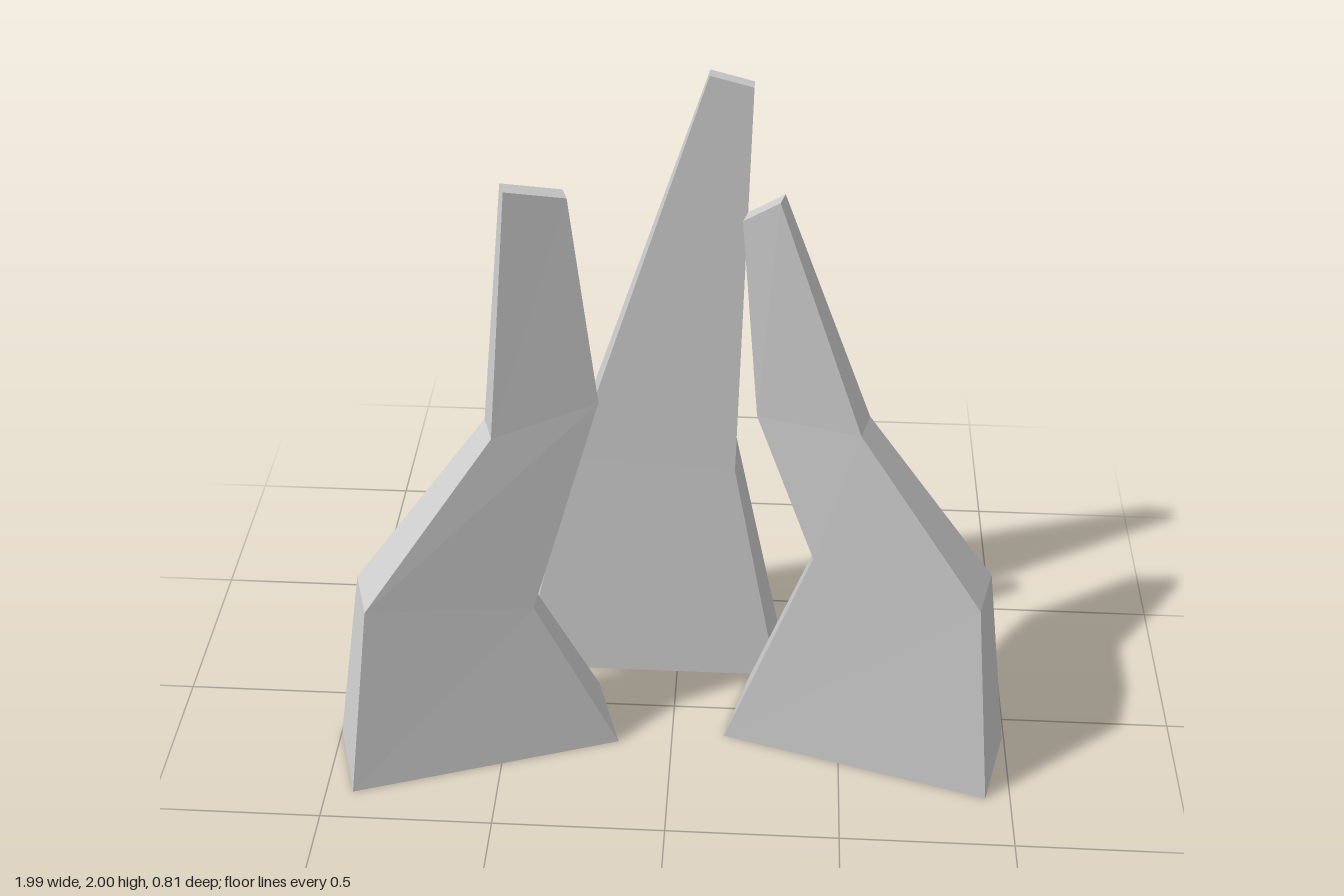
import * as THREE from 'three';

const material = new THREE.MeshStandardMaterial({ color: 0xcccccc, flatShading: true });

// Lofts a tapering slab through four-cornered sections.
// Each section: [left x, left y, right x, right y, thickness]
function slabGeometry(sections) {
  const rings = sections.map(([lx, ly, rx, ry, t]) => [
    [lx, ly, t / 2], [rx, ry, t / 2], [rx, ry, -t / 2], [lx, ly, -t / 2],
  ]);
  const positions = [];
  const quad = (a, b, c, d) => positions.push(...a, ...b, ...c, ...a, ...c, ...d);

  for (let i = 0; i < rings.length - 1; i++) {
    for (let j = 0; j < 4; j++) {
      const k = (j + 1) % 4;
      quad(rings[i][j], rings[i][k], rings[i + 1][k], rings[i + 1][j]);
    }
  }
  quad(...rings[rings.length - 1]); // top cap
  quad(...[...rings[0]].reverse()); // underside

  const geometry = new THREE.BufferGeometry();
  geometry.setAttribute('position', new THREE.Float32BufferAttribute(positions, 3));
  geometry.computeVertexNormals();
  return geometry;
}

const SLABS = [
  {
    name: 'backSpire', x: -0.09, z: -0.282, turn: 0,
    sections: [
      [-0.4, 0, 0.4, 0, 0.255],
      [-0.215, 0.8, 0.255, 0.77, 0.16],
      [0.165, 2, 0.28, 1.97, 0.036],
    ],
  },
  {
    name: 'rightSpire', x: -0.58, z: 0.158, turn: 0.312,
    sections: [
      [-0.4, 0, 0.4, 0, 0.256],
      [-0.297, 0.64, 0.174, 0.55, 0.158],
      [0.092, 1.145, 0.386, 1.21, 0.095],
      [0.168, 1.87, 0.326, 1.83, 0.046],
    ],
  },
  {
    name: 'leftSpire', x: 0.575, z: 0.098, turn: -0.264,
    sections: [
      [-0.4, 0, 0.4, 0, 0.254],
      [-0.166, 0.73, 0.311, 0.67, 0.158],
      [-0.35, 1.16, -0.062, 1.16, 0.095],
      [-0.41, 1.74, -0.314, 1.81, 0.046],
    ],
  },
];

export function createModel() {
  const group = new THREE.Group();
  group.name = 'rockSpires';
  for (const { name, x, z, turn, sections } of SLABS) {
    const mesh = new THREE.Mesh(slabGeometry(sections), material);
    mesh.name = name;
    mesh.position.set(x, 0, z);
    mesh.rotation.y = turn;
    group.add(mesh);
  }
  return group;
}
